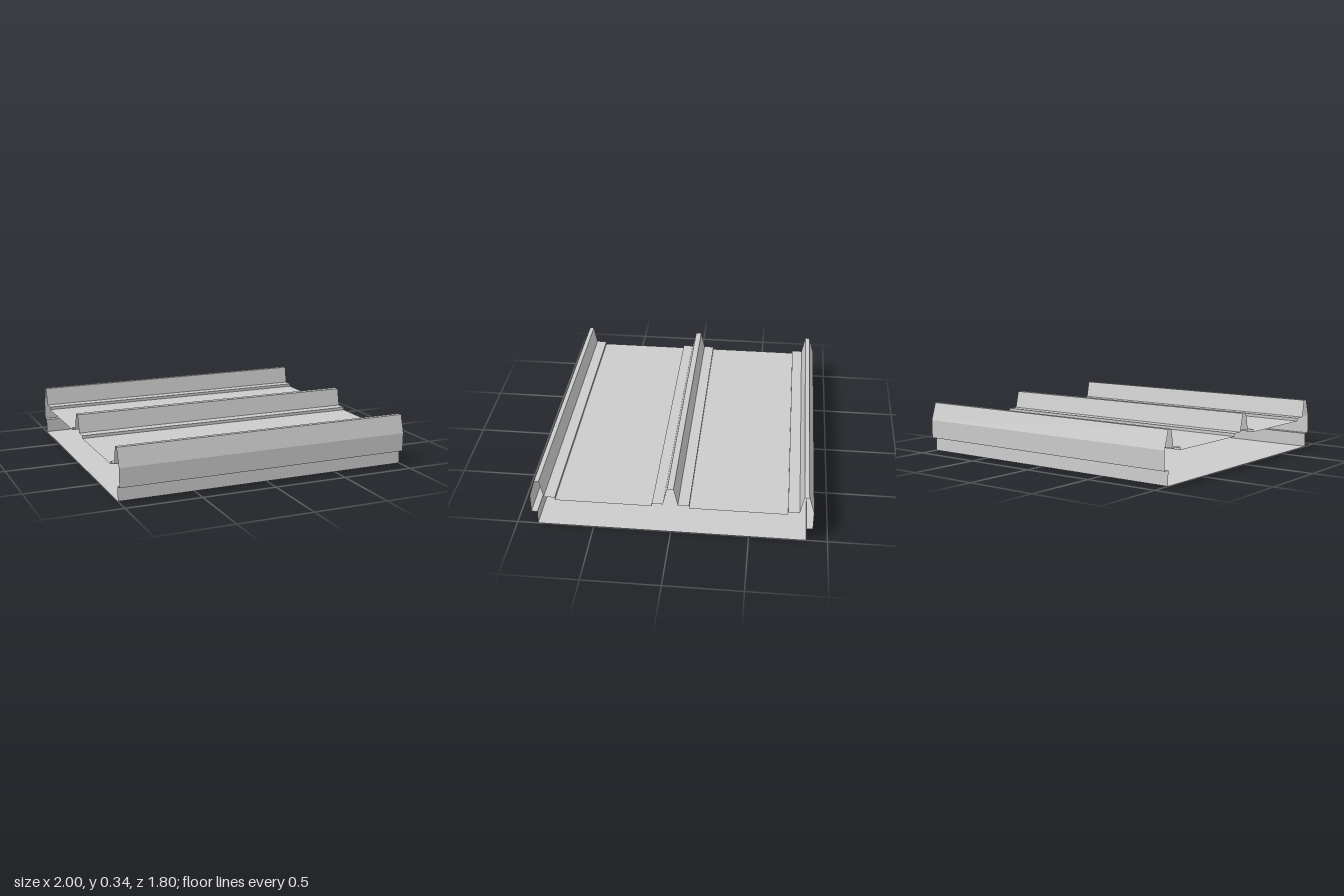
import * as THREE from 'three';

const HALF = 1; // half length along x
const material = new THREE.MeshStandardMaterial({
  color: 0xcccccc, flatShading: true, side: THREE.DoubleSide,
});

// Sweeps an open [z, y] profile along x; each segment gets its own flat strip.
// Profiles run from +z to -z on top so that faces point outwards.
function foldedSheet(name, profile) {
  const pos = [];
  for (let i = 0; i < profile.length - 1; i++) {
    const [z0, y0] = profile[i];
    const [z1, y1] = profile[i + 1];
    const a = [-HALF, y0, z0], b = [HALF, y0, z0];
    const c = [HALF, y1, z1], d = [-HALF, y1, z1];
    pos.push(...a, ...b, ...c, ...a, ...c, ...d);
  }
  const geo = new THREE.BufferGeometry();
  geo.setAttribute('position', new THREE.Float32BufferAttribute(pos, 3));
  geo.computeVertexNormals();
  const mesh = new THREE.Mesh(geo, material);
  mesh.name = name;
  return mesh;
}

// Completes a front half profile with its mirror image at the back
const mirrored = (half) => [...half, ...half.map(([z, y]) => [-z, y]).reverse()];

export function createModel() {
  const group = new THREE.Group();
  group.name = 'roofPanel';

  const top = 0.34, shelf = 0.22, pan = 0.2, lip = 0.095;

  // Ribbed upper sheet: side flange, edge rib, shelf, pan, shelf, centre rib
  group.add(foldedSheet('ribbedTopSheet', mirrored([
    [0.902, lip], [0.902, shelf], [0.865, top], [0.835, top], [0.812, shelf],
    [0.74, shelf], [0.74, pan], [0.118, pan], [0.118, shelf],
    [0.047, shelf], [0.02, top],
  ])));

  // Lower tray: ledge under the flange, side wall and flat floor
  group.add(foldedSheet('bottomTray', mirrored([
    [0.902, lip], [0.862, lip], [0.866, 0],
  ]).reverse()));

  return group;
}
